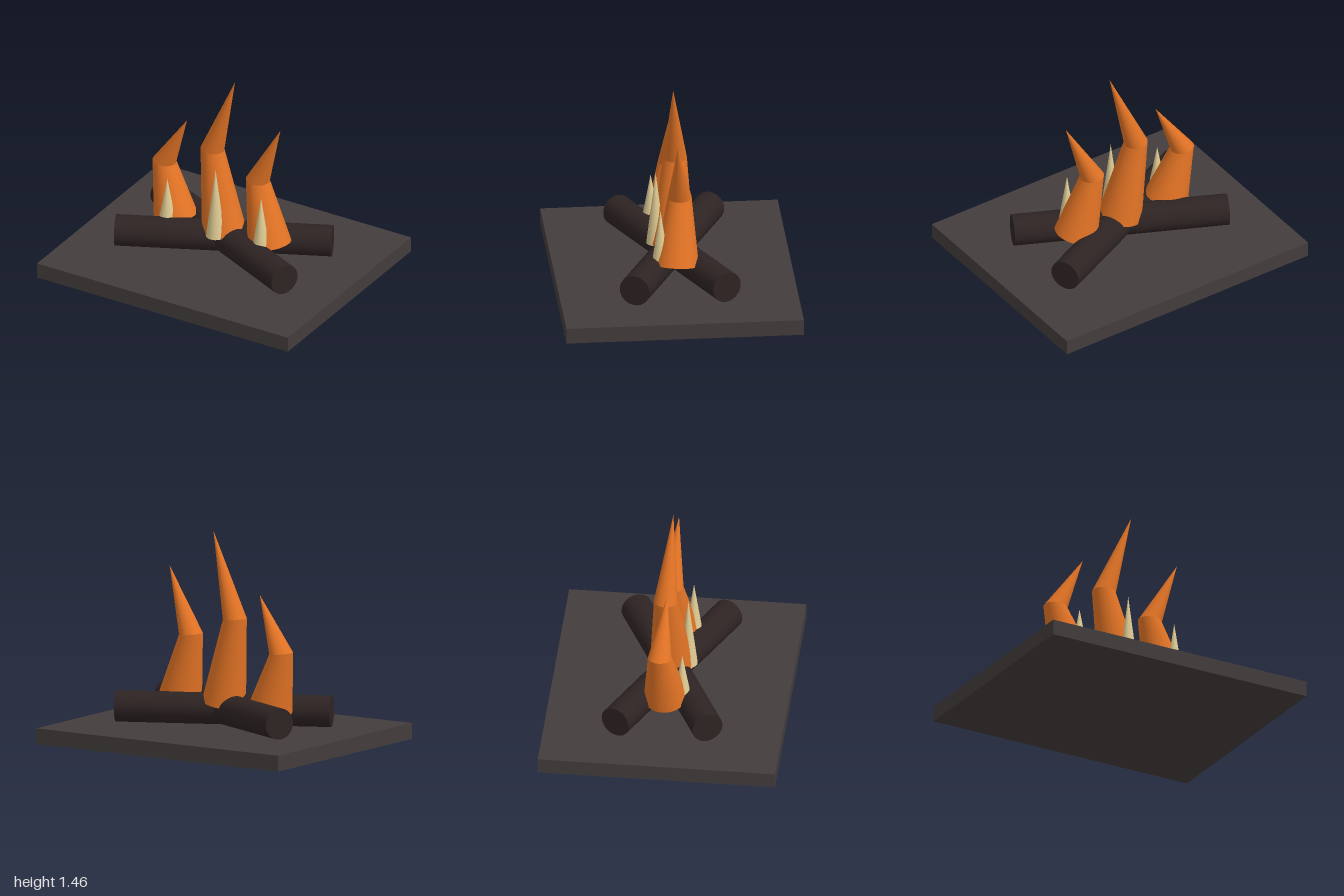
import * as THREE from 'three';

const SIDES = 32;
const UP = new THREE.Vector3(0, 1, 0);

// Circle of points around a centre, square to the given direction
function ring(centre, direction, radius) {
  const turn = new THREE.Quaternion().setFromUnitVectors(UP, direction);
  return Array.from({ length: SIDES }, (_, i) => {
    const a = (i / SIDES) * Math.PI * 2;
    return new THREE.Vector3(Math.sin(a) * radius, 0, Math.cos(a) * radius)
      .applyQuaternion(turn).add(centre);
  });
}

// Bent flame: tapered lower part, mitred bend, pointed tip, closed base
function flameGeometry(base, bend, tip, baseRadius, bendRadius) {
  const lower = bend.clone().sub(base).normalize();
  const upper = tip.clone().sub(bend).normalize();
  const middle = lower.clone().add(upper).normalize();
  const foot = ring(base, lower, baseRadius);
  const elbow = ring(bend, middle, bendRadius);
  const point = ring(tip, upper, 0);
  const hub = ring(base, lower, 0);
  const positions = [], index = [];
  for (const [low, high] of [[hub, foot], [foot, elbow], [elbow, point]]) {
    const start = positions.length / 3;
    for (const p of [...low, ...high]) positions.push(p.x, p.y, p.z);
    for (let i = 0; i < SIDES; i++) {
      const a = start + i, b = start + (i + 1) % SIDES;
      if (high !== point) index.push(a, b + SIDES, a + SIDES);
      if (low !== hub) index.push(a, b, b + SIDES);
    }
  }
  const geometry = new THREE.BufferGeometry();
  geometry.setAttribute('position', new THREE.Float32BufferAttribute(positions, 3));
  geometry.setIndex(index);
  geometry.computeVertexNormals();
  return geometry;
}

export function createModel() {
  const model = new THREE.Group();
  model.name = 'campfire';

  const material = (name, color) => {
    const m = new THREE.MeshStandardMaterial({ color });
    m.name = name;
    return m;
  };
  const stone = material('dark stone', 0x433d3c);
  const bark = material('charred bark', 0x2e2323);
  const orange = material('flame orange', 0xe27325);
  const cream = material('flame cream', 0xdfcb93);

  const add = (name, geometry, mat, x = 0, y = 0, z = 0) => {
    const mesh = new THREE.Mesh(geometry, mat);
    mesh.name = name;
    mesh.position.set(x, y, z);
    model.add(mesh);
    return mesh;
  };

  // Hearth slab
  add('hearthSlab', new THREE.BoxGeometry(2, 0.11, 1.63), stone, 0, 0.055, 0);

  // Crossed logs
  const logGeometry = new THREE.CylinderGeometry(0.108, 0.108, 1.49, 32).rotateZ(Math.PI / 2);
  for (const side of [-1, 1]) {
    add(side < 0 ? 'logA' : 'logB', logGeometry, bark, 0, 0.229, 0).rotation.y = side * 0.44;
  }

  // Outer flames, each with a pale inner flame in front
  const flames = [
    { name: 'right', x: -0.385, bend: [-0.493, 0.662], tip: [-0.295, 1.045], inner: 0.615, r: 0.061 },
    { name: 'middle', x: 0, bend: [-0.11, 0.865], tip: [0.088, 1.455], inner: 0.8, r: 0.065 },
    { name: 'left', x: 0.363, bend: [0.2525, 0.728], tip: [0.45, 1.18], inner: 0.68, r: 0.061 },
  ];
  for (const f of flames) {
    add(f.name + 'Flame', flameGeometry(
      new THREE.Vector3(f.x, 0.27, 0),
      new THREE.Vector3(...f.bend, -0.03),
      new THREE.Vector3(...f.tip, 0),
      0.152, 0.082), orange);
    const height = f.inner - 0.28;
    add(f.name + 'InnerFlame', new THREE.ConeGeometry(f.r, height, 24), cream,
      f.x, 0.28 + height / 2, 0.112);
  }

  return model;
}
